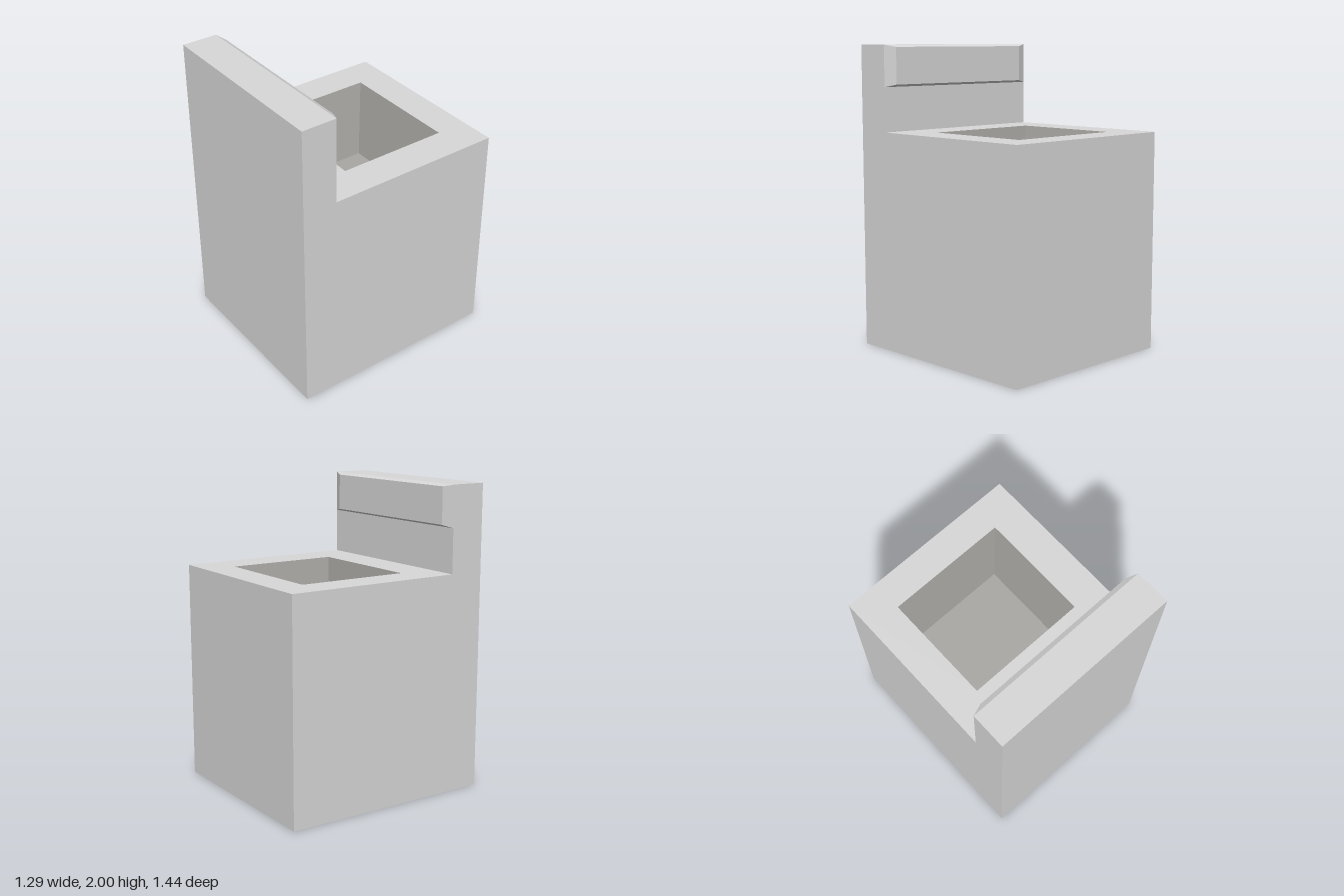
import * as THREE from 'three';

const W = 0.635, D = 0.711;          // half width and half depth of the cabinet
const DECK = 1.44, TOP = 2;          // deck height and overall height
const PANEL_Z = 0.477;               // rear face of the upright panel

const paint = new THREE.MeshStandardMaterial({ color: 0xd8d8d8 });
paint.name = 'light grey paint';
const tubGrey = new THREE.MeshStandardMaterial({ color: 0xaaa8a4 });
tubGrey.name = 'warm grey tub';

// Skin a stack of rectangles [x0, x1, z0, z1, y], with optional end caps.
function loft(name, material, rings, capStart, capEnd) {
  const loops = rings.map(([x0, x1, z0, z1, y]) => [
    [x0, y, z1], [x1, y, z1], [x1, y, z0], [x0, y, z0],
  ]);
  const positions = [];
  const quad = (a, b, c, d) => positions.push(...a, ...b, ...c, ...a, ...c, ...d);
  for (let r = 0; r < loops.length - 1; r++) {
    for (let i = 0; i < 4; i++) {
      const j = (i + 1) % 4;
      quad(loops[r][i], loops[r][j], loops[r + 1][j], loops[r + 1][i]);
    }
  }
  const last = loops[loops.length - 1];
  if (capStart) quad(...[...loops[0]].reverse());
  if (capEnd) quad(...last);
  const geometry = new THREE.BufferGeometry();
  geometry.setAttribute('position', new THREE.Float32BufferAttribute(positions, 3));
  geometry.computeVertexNormals();
  const mesh = new THREE.Mesh(geometry, material);
  mesh.name = name;
  return mesh;
}

export function createModel() {
  const model = new THREE.Group();
  model.name = 'topLoadingWasher';

  const rim = [-0.415, 0.402, -0.498, 0.242, DECK];
  const tubFloor = [-0.33, 0.325, -0.425, 0.188, DECK - 0.5];

  // Cabinet walls, base and the deck around the opening
  model.add(loft('cabinet', paint, [
    [-W, W, -D, D, 0],
    [-W, W, -D, D, DECK],
    rim,
  ], true, false));

  // Tapered tub sunk into the deck
  model.add(loft('tub', tubGrey, [rim, tubFloor], false, true));

  // Upright panel along the front edge
  model.add(loft('uprightPanel', paint, [
    [-W, W, PANEL_Z, D, DECK],
    [-W, W, PANEL_Z, D, TOP],
  ], false, true));

  // Bevelled console plate facing the deck (lofted upright, then turned to face -z)
  const consolePlate = loft('consolePlate', paint, [
    [-W, W, 1.73, TOP, -PANEL_Z],
    [-0.56, 0.56, 1.745, 1.985, -0.447],
  ], false, true);
  consolePlate.rotation.x = -Math.PI / 2;
  model.add(consolePlate);

  // The whole machine stands very slightly turned
  model.rotation.y = 0.017;
  return model;
}
